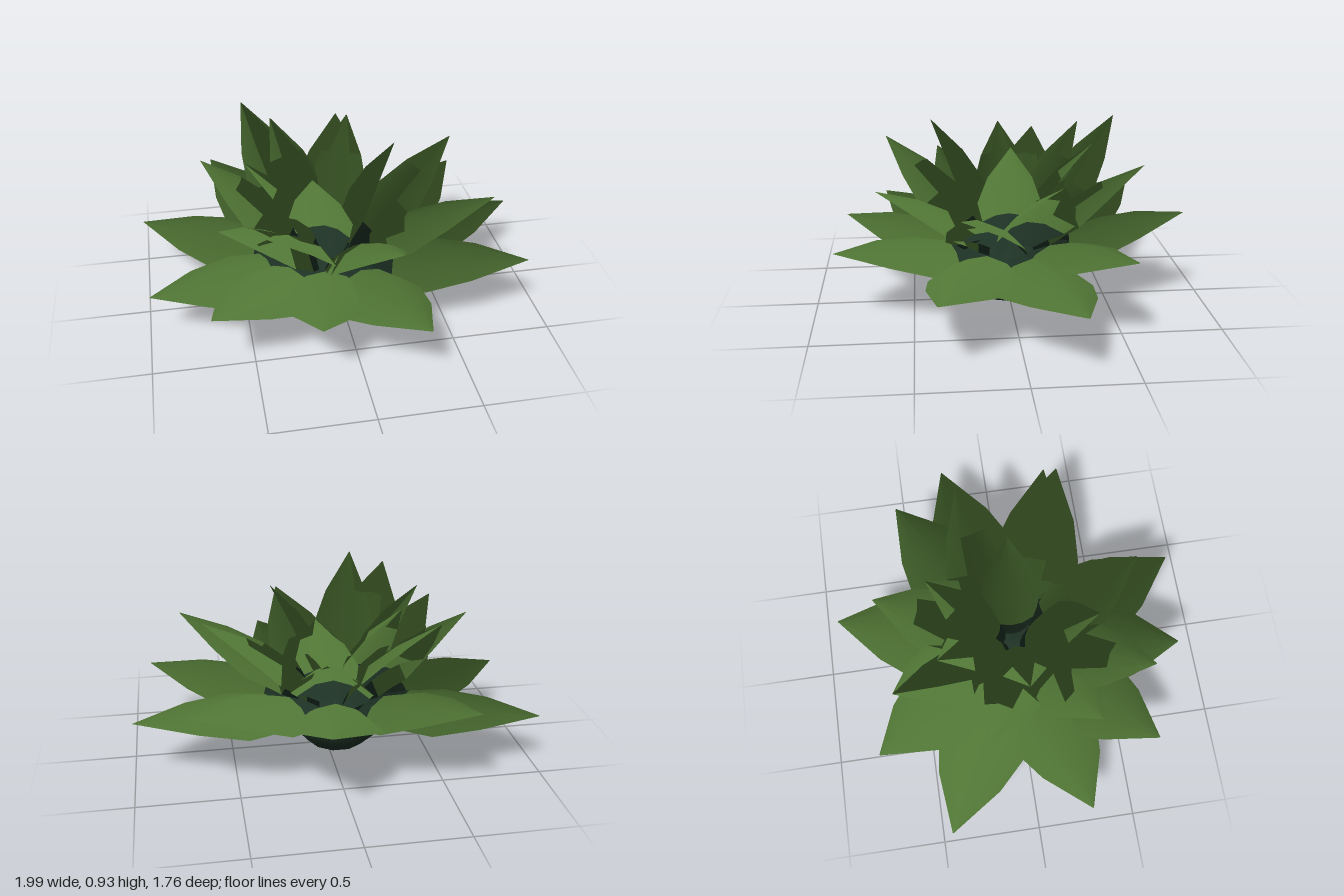
import * as THREE from 'three';

const CENTRE_X = -0.055;
const HALF_THICKNESS = 0.004;

const leafGreen = new THREE.MeshStandardMaterial({ color: 0x527836 });
leafGreen.name = 'leaf green';
const baseGreen = new THREE.MeshStandardMaterial({ color: 0x1f3326 });
baseGreen.name = 'dark base green';

// One rosette ring per entry; tips are [x, y, z], dark feet end at darkTop and darkUnder
const RINGS = [
  {
    name: 'outerLeaf', startR: 0.14, startY: 0.27, width: 0.24, droop: 0.52, arch: 0.07, darkTop: 0.25, darkUnder: 0.25,
    tips: [
      [-0.6, 0.48, -0.74], [0.12, 0.49, -0.88], [0.73, 0.46, -0.52], [0.99, 0.32, -0.25], [0.9, 0.36, 0.39],
      [0.27, 0.38, 0.88], [-0.22, 0.42, 0.84], [-0.7, 0.4, 0.65], [-0.98, 0.29, 0.27], [-1, 0.29, -0.44],
    ],
  },
  {
    name: 'middleLeaf', startR: 0.09, startY: 0.29, width: 0.2, droop: 0.5, arch: 0.06, darkTop: 0.2, darkUnder: 0.32,
    tips: [
      [-0.42, 0.88, -0.61], [0.11, 0.74, -0.67], [0.63, 0.79, -0.19], [0.73, 0.68, 0.28],
      [0.18, 0.66, 0.67], [-0.43, 0.79, 0.63], [-0.63, 0.68, 0.35], [-0.67, 0.77, -0.19],
    ],
  },
  {
    name: 'innerLeaf', startR: 0.035, startY: 0.3, width: 0.16, droop: 0.45, arch: 0.07, darkTop: 0.16, darkUnder: 0.26,
    tips: [[-0.29, 0.88, -0.39], [0.12, 0.86, -0.4], [0.28, 0.89, 0.02], [-0.19, 0.93, 0.39], [-0.47, 0.85, 0.02]],
  },
];

// Relative half width along the leaf: narrow foot, full belly, angular shoulder, sharp tip
const OUTLINE = [[0, 0.45], [0.2, 0.8], [0.45, 1], [0.7, 0.68], [1, 0.01]];

function halfWidth(t) {
  const i = Math.max(1, OUTLINE.findIndex(([s]) => t <= s));
  const [t0, w0] = OUTLINE[i - 1], [t1, w1] = OUTLINE[i];
  return THREE.MathUtils.mapLinear(t, t0, t1, w0, w1);
}

// One face of an arched blade with drooping edges and a dark foot (side: 1 upper, -1 lower).
// The soft foliage normals spread out from the heart of the plant on both faces.
function makeFace(ring, tip, side) {
  const out = new THREE.Vector3(tip[0] - CENTRE_X, 0, tip[2]).normalize();
  const start = out.clone().multiplyScalar(ring.startR).add(new THREE.Vector3(CENTRE_X, ring.startY, 0));
  const end = new THREE.Vector3(...tip);
  const along = end.clone().sub(start).normalize();
  const across = new THREE.Vector3(0, 1, 0).cross(out);
  const upper = along.clone().cross(across);

  const rows = [0, 0.12, ring.darkTop, ring.darkUnder, 0.45, 0.7, 1];
  const columns = 4;
  const positions = [], normals = [], index = [];
  for (const t of rows) {
    const w = halfWidth(t) * ring.width;
    const bow = Math.sin(Math.PI * t);
    for (let c = 0; c <= columns; c++) {
      const u = c / columns * 2 - 1;
      const lift = ring.arch * bow - ring.droop * w * u * u + side * HALF_THICKNESS * bow * (1 - u * u);
      const p = start.clone().lerp(end, t).addScaledVector(across, u * w).addScaledVector(upper, lift);
      const n = out.clone().addScaledVector(across, u * 0.35).setY(0.55).normalize();
      positions.push(...p.toArray());
      normals.push(...n.toArray());
    }
  }
  const stride = columns + 1;
  for (let r = 0; r < rows.length - 1; r++) {
    for (let c = 0; c < columns; c++) {
      const a = r * stride + c, b = a + stride;
      if (side > 0) index.push(a, b, a + 1, a + 1, b, b + 1);
      else index.push(a, a + 1, b, a + 1, b + 1, b);
    }
  }
  const geometry = new THREE.BufferGeometry();
  geometry.setAttribute('position', new THREE.Float32BufferAttribute(positions, 3));
  geometry.setAttribute('normal', new THREE.Float32BufferAttribute(normals, 3));
  geometry.setIndex(index);
  const darkRows = side > 0 ? 2 : 3;
  const darkCount = darkRows * columns * 6;
  geometry.addGroup(0, darkCount, 0);
  geometry.addGroup(darkCount, index.length - darkCount, 1);
  const mesh = new THREE.Mesh(geometry, [baseGreen, leafGreen]);
  mesh.name = ring.name + (side > 0 ? 'Top' : 'Underside');
  return mesh;
}

export function createModel() {
  const model = new THREE.Group();
  model.name = 'succulent';

  // Rounded stem bulb below the leaves, closed at the heart of the rosette
  const profile = [
    [0, 0.005], [0.14, 0.015], [0.21, 0.08], [0.25, 0.14], [0.26, 0.2], [0.245, 0.25], [0.17, 0.3], [0, 0.32],
  ].map(([r, y]) => new THREE.Vector2(r, y));
  const bulb = new THREE.Mesh(new THREE.LatheGeometry(profile, 10, Math.PI / 2), baseGreen);
  bulb.name = 'stemBulb';
  bulb.position.x = CENTRE_X;
  bulb.scale.z = 0.95;
  model.add(bulb);

  // Three rings of thin closed leaves, each with a top and an underside
  for (const ring of RINGS) {
    const group = new THREE.Group();
    group.name = ring.name + 'Ring';
    for (const tip of ring.tips) {
      const leaf = new THREE.Group();
      leaf.name = ring.name;
      leaf.add(makeFace(ring, tip, 1), makeFace(ring, tip, -1));
      group.add(leaf);
    }
    model.add(group);
  }
  return model;
}
